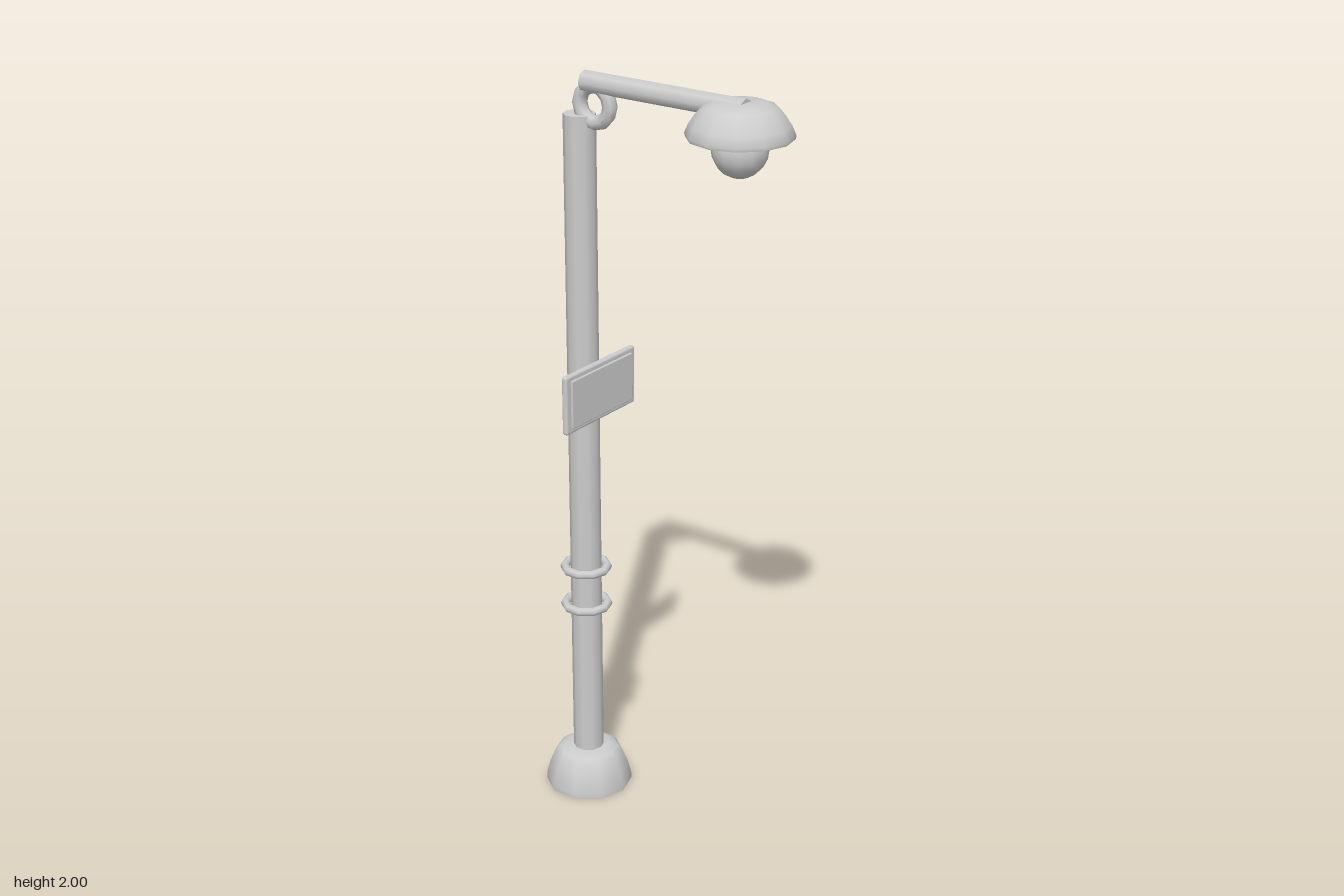
import * as THREE from 'three';
import { toCreasedNormals } from 'three/addons/utils/BufferGeometryUtils.js';
import { RoundedBoxGeometry } from 'three/addons/geometries/RoundedBoxGeometry.js';

export function createModel() {
  const model = new THREE.Group();
  model.name = 'streetLamp';
  const grey = new THREE.MeshStandardMaterial({ name: 'lightGrey', color: 0xcccccc });

  const POLE_Z = -0.243;
  const LAMP_Z = 0.23;

  const add = (name, geometry, x, y, z) => {
    const mesh = new THREE.Mesh(geometry, grey);
    mesh.name = name;
    mesh.position.set(x, y, z);
    model.add(mesh);
    return mesh;
  };
  // Turned part: smooth around, sharp at the rims
  const turned = (profile, sides) => toCreasedNormals(
    new THREE.LatheGeometry(profile.map(([r, y]) => new THREE.Vector2(r, y)), sides), 0.9);

  // Domed foot
  add('base', turned([
    [0, 0], [0.117, 0], [0.117, 0.015], [0.107, 0.055],
    [0.092, 0.092], [0.08, 0.105], [0.062, 0.111], [0, 0.111],
  ], 10), 0, 0, POLE_Z);

  // Upright pole
  add('pole', new THREE.CylinderGeometry(0.041, 0.041, 1.785, 10), 0, 0.9975, POLE_Z);

  // Two collars around the pole
  for (const y of [0.547, 0.657]) {
    const collar = new THREE.TorusGeometry(0.057, 0.012, 8, 10);
    collar.rotateX(Math.PI / 2).rotateY(Math.PI / 2);
    add('collar', collar, 0, y, POLE_Z);
  }

  // Sign board with a raised inner plate
  add('signBoard', new RoundedBoxGeometry(0.288, 0.158, 0.017, 2, 0.007), 0, 1.175, -0.193);
  add('signPlate', new RoundedBoxGeometry(0.252, 0.13, 0.012, 1, 0.003), 0, 1.175, -0.185);

  // Ring joint on top of the pole
  const joint = new THREE.TorusGeometry(0.046, 0.019, 8, 12);
  joint.rotateY(Math.PI / 2);
  add('ringJoint', joint, 0, 1.919, -0.195);

  // Eight-sided arm reaching forward
  const arm = new THREE.CylinderGeometry(0.027, 0.027, 0.47, 8);
  arm.rotateX(Math.PI / 2);
  add('arm', arm, 0, 1.973, 0.01);

  // Shade, closed underneath
  add('lampShade', turned([
    [0, 1.906], [0.129, 1.906], [0.131, 1.914], [0.121, 1.937],
    [0.106, 1.96], [0.086, 1.98], [0.064, 1.988], [0, 1.99],
  ], 12), 0, 0, LAMP_Z);

  // Round bulb
  add('bulb', new THREE.SphereGeometry(0.069, 12, 10), 0, 1.878, LAMP_Z);

  return model;
}
